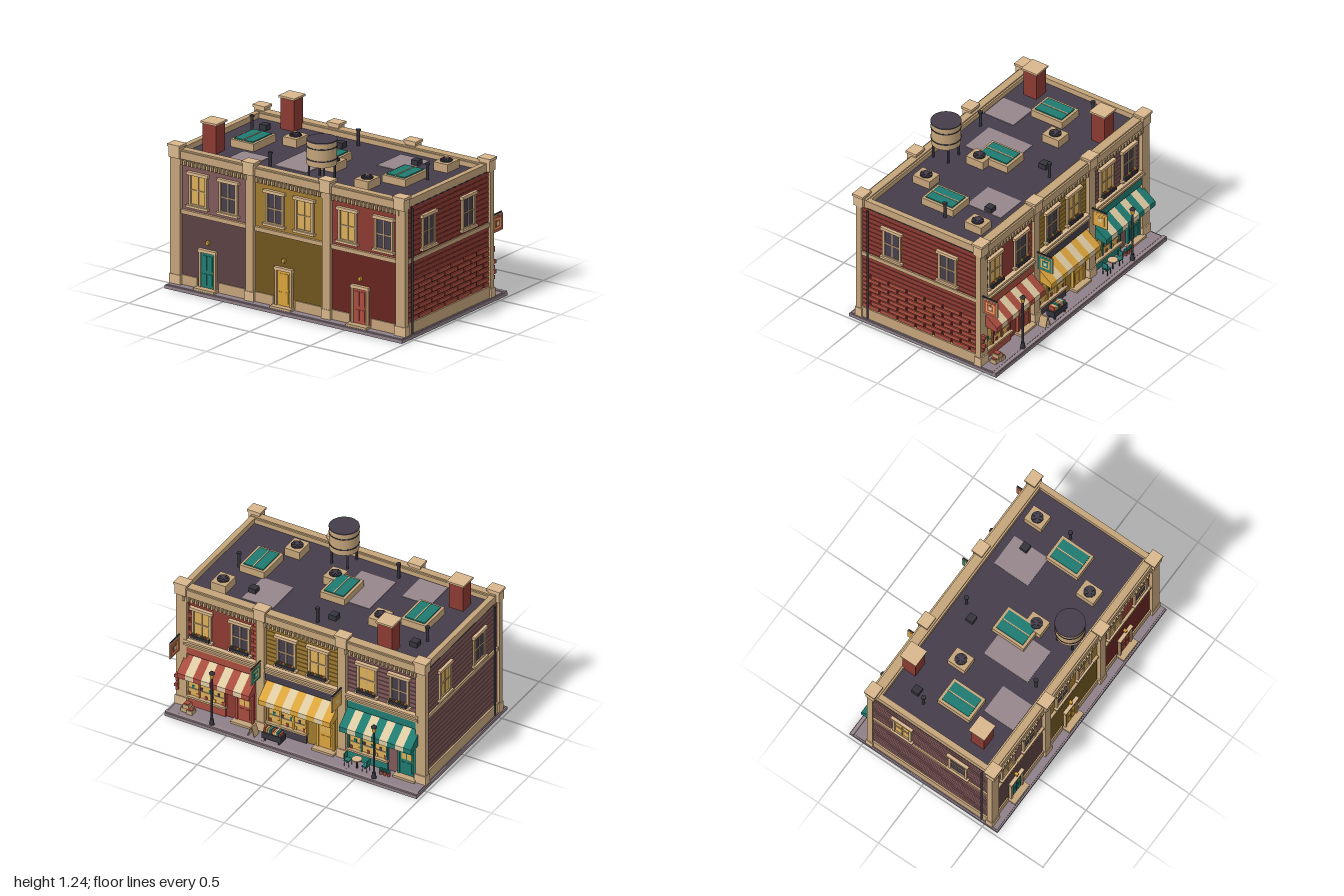
import * as THREE from 'three';

const C = { tan: 0xc4a47a, light: 0xd9b78c, red: 0x8c3a32, brick: 0xa84c3e, darkRed: 0x66241f, gold: 0xa07a30, darkGold: 0x6e551f,
  mauve: 0x80595a, darkMauve: 0x5c4142, dark: 0x453e4a, iron: 0x35333c, slab: 0x8f8088, patch: 0x96868b, teal: 0x1f7a70,
  lit: 0xdcae58, cream: 0xdcc9a2, orange: 0xe0a850, green: 0x4c6b3a, amber: 0xd9a33c };
const mats = {};
const mat = c => mats[c] ??= new THREE.MeshStandardMaterial({ color: C[c] });

function add(parent, name, geo, c, x = 0, y = 0, z = 0) {
  const m = new THREE.Mesh(geo, mat(c));
  m.name = name;
  m.position.set(x, y, z);
  parent.add(m);
  return m;
}
// Box from its bounds on each axis
const box = (p, name, c, x0, x1, y0, y1, z0, z1) => add(p, name, new THREE.BoxGeometry(x1 - x0, y1 - y0, z1 - z0), c,
  (x0 + x1) / 2, (y0 + y1) / 2, (z0 + z1) / 2);
// Upright cylinder from its foot
const cyl = (p, name, c, x, y0, y1, z, r, r2 = r, n = 16) =>
  add(p, name, new THREE.CylinderGeometry(r2, r, y1 - y0, n), c, x, (y0 + y1) / 2, z);
function sub(parent, name, x = 0, y = 0, z = 0, ry = 0) {
  const g = new THREE.Group();
  g.name = name;
  g.position.set(x, y, z);
  g.rotation.y = ry;
  parent.add(g);
  return g;
}

// Sash window facing local +z, standing on its sill
function sashWindow(parent, x, y, z, ry, lit, planter) {
  const g = sub(parent, 'window', x, y, z, ry), w = 0.067;
  box(g, 'glass', lit ? 'lit' : 'dark', -w, w, 0, 0.22, -0.005, 0.006);
  for (const s of [-1, 1]) box(g, 'jamb', 'tan', s * w - 0.009, s * w + 0.009, 0, 0.225, 0, 0.016);
  box(g, 'mullion', 'tan', -0.004, 0.004, 0, 0.22, 0, 0.011);
  box(g, 'meetingRail', 'tan', -w, w, 0.107, 0.115, 0, 0.012);
  box(g, 'bottomRail', 'tan', -w, w, 0, 0.012, 0, 0.014);
  box(g, 'lintel', 'light', -0.088, 0.088, 0.218, 0.24, 0, 0.025);
  box(g, 'sill', 'light', -0.09, 0.09, -0.014, 0.002, 0, 0.028);
  if (!planter) return;
  box(g, 'planter', 'iron', -0.07, 0.07, 0, 0.022, 0.01, 0.036);
  for (let i = 0; i < 6; i++)
    add(g, 'flower', new THREE.IcosahedronGeometry(0.011, 0), ['green', 'brick', 'orange'][i % 3], -0.058 + i * 0.023, 0.029, 0.023);
}

// Panelled door facing local +z
function door(parent, x, z, ry, c, glazed) {
  const g = sub(parent, 'door', x, 0.03, z, ry);
  box(g, 'leaf', c, -0.057, 0.057, 0.015, 0.265, 0, 0.012);
  for (const s of [-1, 1]) {
    box(g, 'jamb', glazed ? c : 'tan', s * 0.062 - 0.008, s * 0.062 + 0.008, 0, 0.275, 0, 0.02);
    box(g, 'panel', glazed ? 'lit' : c, s * 0.022 - 0.017, s * 0.022 + 0.017, 0.14, 0.245, 0, 0.016);
    box(g, 'lowerPanel', c, s * 0.022 - 0.017, s * 0.022 + 0.017, 0.035, 0.115, 0, 0.016);
  }
  if (glazed) box(g, 'glazingBar', c, -0.045, 0.045, 0.19, 0.197, 0, 0.018);
  box(g, 'head', glazed ? c : 'light', -0.075, 0.075, 0.265, 0.287, 0, 0.026);
  add(g, 'knob', new THREE.SphereGeometry(0.006, 8, 6), 'amber', 0.045, 0.13, 0.016);
  box(g, 'step', 'tan', -0.085, 0.085, 0, 0.016, 0, 0.06);
}

// One shop: walls, upper windows, fascia, awning, shopfront and rear door
function shop(root, c, o) {
  const g = sub(root, o.name, 0, 0, c), h = 0.28;
  box(g, 'walls', o.wall, -0.53, 0.44, 0.03, 0.94, -0.315, 0.315);
  box(g, 'rearLowerWall', o.low, -0.536, -0.52, 0.1, 0.54, -h, h);
  for (let i = 0; i < 9; i++) {
    const y = 0.575 + i * 0.034;
    if (o.wall !== 'red') box(g, 'course', o.wall, 0.43, 0.445, y, y + 0.03, -h, h);
    else for (const s of [-1, 1]) {
      const w = i % 2 ? 0.06 : 0.03;
      box(g, 'quoin', 'brick', 0.43, 0.452, y, y + 0.03, s * (h - w / 2) - w / 2, s * (h - w / 2) + w / 2);
    }
  }
  o.lit.forEach((lit, i) => {
    const z = (i ? -1 : 1) * o.spread;
    sashWindow(g, 0.447, 0.605, z, Math.PI / 2, lit, true);
    sashWindow(g, -0.53, 0.605, z, -Math.PI / 2, !lit, false);
  });
  // Cornice dentils and string courses on both long sides
  for (let i = 0; i < 18; i++) {
    const z = -h + 0.02 + i * 0.0318;
    box(g, 'frontDentil', 'tan', 0.44, 0.48, 0.885, 0.92, z - 0.008, z + 0.008);
    box(g, 'rearDentil', 'tan', -0.562, -0.53, 0.885, 0.92, z - 0.008, z + 0.008);
  }
  box(g, 'frontString', 'tan', 0.43, 0.482, 0.53, 0.545, -h, h);
  box(g, 'frontStringTop', 'light', 0.43, 0.475, 0.553, 0.568, -h, h);
  box(g, 'rearString', 'tan', -0.55, -0.53, 0.535, 0.565, -h, h);
  box(g, 'fascia', o.trim, 0.43, 0.468, 0.455, 0.517, -h + 0.005, h - 0.005);
  box(g, 'fasciaRail', 'tan', 0.43, 0.474, 0.515, 0.524, -h, h);
  // Striped awning
  const prof = new THREE.Shape([[0.44, 0.44], [0.44, 0.335], [0.565, 0.31], [0.565, 0.348]].map(p => new THREE.Vector2(...p)));
  const n = 9, sw = 0.56 / n;
  for (let i = 0; i < n; i++)
    add(g, 'awningStripe', new THREE.ExtrudeGeometry(prof, { depth: sw, bevelEnabled: false }), i % 2 ? 'cream' : o.stripe, 0, 0, -h + i * sw);
  // Display window with goods on shelves
  box(g, 'displayGlass', 'lit', 0.43, 0.446, 0.11, 0.33, -0.03, 0.27);
  box(g, 'stallRiser', o.trim, 0.43, 0.455, 0.03, 0.1, -0.035, 0.275);
  box(g, 'displaySill', 'tan', 0.43, 0.472, 0.098, 0.113, -0.04, 0.28);
  for (const z of [-0.03, 0.07, 0.17, 0.27]) box(g, 'displayMullion', o.stripe, 0.43, 0.456, 0.1, 0.33, z - 0.006, z + 0.006);
  for (const y of [0.165, 0.265]) box(g, 'displayShelf', 'tan', 0.43, 0.452, y, y + 0.007, -0.03, 0.27);
  for (let i = 0; i < 9; i++) {
    const z = -0.012 + i * 0.033, y = i % 2 ? 0.172 : 0.113;
    box(g, 'goods', ['brick', 'dark', 'orange', 'teal'][i % 4], 0.43, 0.451, y, y + 0.025, z - 0.009, z + 0.009);
  }
  door(g, 0.44, -0.183, Math.PI / 2, o.stripe, true);
  door(g, -0.536, -0.04, -Math.PI / 2, o.stripe, false);
  box(g, 'rearLamp', 'amber', -0.56, -0.53, 0.355, 0.38, -0.05, -0.03);
  box(g, 'rearPlinth', 'tan', -0.545, -0.52, 0.03, 0.1, 0.05, h);
  box(g, 'rearPlinth', 'tan', -0.545, -0.52, 0.03, 0.1, -h, -0.13);
  // Hanging sign
  const s = sub(g, 'hangingSign', 0.54, 0.528, 0.315);
  box(s, 'bracket', 'iron', -0.08, 0.055, 0.065, 0.073, -0.004, 0.004);
  [['tan', 0.06, 0.01], [o.sign, 0.053, 0.012], ['orange', 0.036, 0.014], [o.sign, 0.025, 0.016], ['cream', 0.013, 0.018]]
    .forEach(([col, r, t]) => box(s, 'signBoard', col, -r, r, -r, r, -t / 2, t / 2));
}

// Gable end: boards, brick base, windows, string course and drainpipe, on the side s of z
function gableEnd(root, s, wall, low, brickBase, lits) {
  const g = sub(root, s > 0 ? 'frontEnd' : 'backEnd');
  const slab = (name, c, x0, x1, y0, y1, t) => box(g, name, c, x0, x1, y0, y1, s > 0 ? 0.94 : -0.94 - t, s > 0 ? 0.94 + t : -0.94);
  slab('backing', low, -0.52, 0.43, 0.1, 0.93, 0.006);
  for (let y = 0.112; y < 0.9; y += 0.0355)
    if (!(brickBase && y < 0.38)) slab('board', wall, -0.52, 0.43, y, y + 0.031, 0.013);
  if (brickBase) for (let r = 0; r < 8; r++) for (let i = -1; i < 7; i++) {
    const x = -0.52 + i * 0.15 + (r % 2) * 0.075, y = 0.112 + r * 0.036;
    const x0 = Math.max(x, -0.52), x1 = Math.min(x + 0.135, 0.43);
    if (x1 - x0 > 0.01) slab('brick', 'brick', x0, x1, y, y + 0.027, 0.016);
  }
  slab('plinth', 'tan', -0.52, 0.43, 0.03, 0.11, 0.024);
  slab('stringCourse', 'tan', -0.52, 0.43, 0.535, 0.565, 0.024);
  [-0.27, 0.19].forEach((x, i) => sashWindow(g, x, 0.6, s * 0.95, s > 0 ? 0 : Math.PI, lits[i], false));
  cyl(g, 'drainpipe', 'iron', -0.468, 0.03, 0.92, s * 0.965, 0.008, 0.008, 10);
  slab('gutter', 'iron', -0.48, 0.43, 0.918, 0.93, 0.012);
  box(g, 'parapet', 'tan', -0.52, 0.44, 0.93, 0.985, s > 0 ? 0.91 : -0.95, s > 0 ? 0.95 : -0.91);
}

function roofItems(root) {
  const g = sub(root, 'roofEquipment'), R = 0.945;
  box(g, 'roofDeck', 'dark', -0.5, 0.4, 0.93, R, -0.92, 0.92);
  for (const [x, z, w, d] of [[-0.17, -0.13, 0.36, 0.27], [-0.35, -0.49, 0.24, 0.22], [0.19, 0.42, 0.28, 0.24]])
    box(g, 'roofPatch', 'patch', x - w / 2, x + w / 2, R, R + 0.004, z - d / 2, z + d / 2);
  for (const z of [-0.635, -0.005, 0.62]) {
    box(g, 'skylightCurb', 'tan', -0.2, 0.06, R, 0.998, z - 0.096, z + 0.096);
    box(g, 'skylightGlass', 'teal', -0.18, 0.04, R, 1.006, z - 0.076, z + 0.076);
    box(g, 'skylightBar', 'light', -0.18, 0.04, R, 1.01, z - 0.004, z + 0.004);
  }
  for (const [x, z] of [[0.1, -0.405], [-0.165, 0.1], [-0.325, 0.49], [0.27, 0.72]]) {
    box(g, 'airUnit', 'tan', x - 0.07, x + 0.07, R, 1.005, z - 0.058, z + 0.058);
    cyl(g, 'fanRing', 'iron', x, 1.005, 1.012, z, 0.043);
    for (const a of [0, 1, 2]) box(g, 'fanBlade', 'dark', -0.04, 0.04, 0, 0.005, -0.006, 0.006)
      .position.set(x, 1.015, z), g.children.at(-1).rotation.y = a * Math.PI / 3;
  }
  for (const z of [-0.745, -0.115, 0.51]) box(g, 'ventBox', 'iron', 0.192, 0.248, R, 0.985, z - 0.028, z + 0.028);
  for (const [x, z] of [[0.135, -0.79], [-0.41, -0.25], [0.315, -0.04], [0.015, 0.745]]) {
    cyl(g, 'ventPipe', 'iron', x, R, 1.06, z, 0.011, 0.011, 10);
    cyl(g, 'ventCap', 'iron', x, 1.05, 1.062, z, 0.017, 0.017, 10);
  }
  for (const [x, z, top] of [[0.345, -0.61, 1.17], [-0.335, -0.77, 1.148]]) {
    box(g, 'chimney', 'red', x - 0.053, x + 0.053, R, top, z - 0.055, z + 0.055);
    box(g, 'chimneyCap', 'light', x - 0.065, x + 0.065, top, top + 0.014, z - 0.066, z + 0.066);
  }
  // Water tank on four legs
  const t = sub(g, 'waterTank', -0.395, 0, 0.165);
  cyl(t, 'tank', 'tan', 0, 1.06, 1.232, 0, 0.102, 0.102, 28);
  for (const y of [1.1, 1.185]) cyl(t, 'hoop', 'iron', 0, y, y + 0.008, 0, 0.105, 0.105, 28);
  cyl(t, 'lid', 'dark', 0, 1.229, 1.237, 0, 0.105, 0.105, 28);
  for (const a of [-1, 1]) for (const b of [-1, 1]) cyl(t, 'leg', 'iron', a * 0.062, R, 1.065, b * 0.062, 0.008, 0.008, 8);
}

function streetItems(root) {
  const g = sub(root, 'streetFurniture');
  for (const z of [0.63, -0.63]) {
    const l = sub(g, 'streetLamp', 0.578, 0.03, z);
    cyl(l, 'foot', 'iron', 0, 0, 0.05, 0, 0.018, 0.012);
    cyl(l, 'post', 'iron', 0, 0.04, 0.375, 0, 0.008);
    cyl(l, 'lantern', 'amber', 0, 0.38, 0.418, 0, 0.012, 0.018, 6);
    cyl(l, 'lanternCap', 'iron', 0, 0.418, 0.437, 0, 0.024, 0.006, 6);
  }
  // Bakery crates
  for (const [z, y, x] of [[0.87, 0.03, 0.52], [0.82, 0.03, 0.53], [0.85, 0.065, 0.525]]) {
    box(g, 'crate', 'tan', x - 0.025, x + 0.025, y, y + 0.03, z - 0.023, z + 0.023);
    box(g, 'crateGoods', 'brick', x - 0.02, x + 0.02, y + 0.02, y + 0.037, z - 0.018, z + 0.018);
  }
  // Book cart
  box(g, 'bookCart', 'iron', 0.5, 0.565, 0.05, 0.095, 0.1, 0.25);
  for (let i = 0; i < 9; i++)
    box(g, 'book', ['brick', 'teal', 'cream', 'orange'][i % 4], 0.508, 0.557, 0.09, 0.118 + (i % 3) * 0.005, 0.108 + i * 0.015, 0.12 + i * 0.015);
  for (const x of [0.51, 0.555]) for (const z of [0.12, 0.23]) cyl(g, 'cartLeg', 'iron', x, 0.03, 0.055, z, 0.008, 0.008, 8);
  // Folding pavement board
  for (const s of [-1, 1]) box(g, 'pavementBoard', 'tan', -0.03, 0.03, -0.04, 0.04, -0.003, 0.003)
    .position.set(0.54, 0.07, 0.33 + s * 0.014), g.children.at(-1).rotation.x = -s * 0.3;
  // Cafe table and chairs
  cyl(g, 'tableLeg', 'iron', 0.53, 0.03, 0.1, -0.47, 0.006);
  cyl(g, 'tableTop', 'light', 0.53, 0.098, 0.106, -0.47, 0.036, 0.036, 20);
  for (const s of [-1, 1]) {
    const z = -0.47 + s * 0.07;
    box(g, 'chairSeat', 'teal', 0.507, 0.553, 0.07, 0.078, z - 0.02, z + 0.02);
    box(g, 'chairBack', 'teal', 0.507, 0.553, 0.085, 0.125, z + s * 0.02 - 0.003, z + s * 0.02 + 0.003);
    for (const x of [0.511, 0.549]) for (const e of [-1, 1])
      cyl(g, 'chairLeg', 'iron', x, 0.03, e === s ? 0.12 : 0.07, z + e * 0.018, 0.003, 0.003, 6);
  }
  for (const z of [-0.645, -0.675, -0.705]) {
    cyl(g, 'flowerPot', 'brick', 0.51, 0.03, 0.06, z, 0.01, 0.014, 10);
    add(g, 'potPlant', new THREE.IcosahedronGeometry(0.016, 0), 'teal', 0.51, 0.07, z);
  }
}

export function createModel() {
  const root = new THREE.Group();
  root.name = 'shopTerrace';
  box(root, 'pavement', 'slab', -0.61, 0.61, 0, 0.024, -0.98, 0.98);
  box(root, 'pavementTop', 'slab', -0.6, 0.575, 0.02, 0.03, -0.97, 0.97);
  box(root, 'kerb', 'patch', 0.58, 0.606, 0.02, 0.034, -0.98, 0.98);
  shop(root, 0.63, { name: 'bakery', wall: 'red', low: 'darkRed', trim: 'brick', stripe: 'brick', sign: 'brick', lit: [true, false], spread: 0.15 });
  shop(root, 0, { name: 'bookshop', wall: 'gold', low: 'darkGold', trim: 'dark', stripe: 'amber', sign: 'teal', lit: [false, true], spread: 0.123 });
  shop(root, -0.63, { name: 'cafe', wall: 'mauve', low: 'darkMauve', trim: 'teal', stripe: 'teal', sign: 'amber', lit: [true, false], spread: 0.125 });
  gableEnd(root, 1, 'red', 'darkRed', true, [false, false]);
  gableEnd(root, -1, 'mauve', 'darkMauve', false, [false, true]);
  // Long parapets with top rail
  for (const [x0, x1] of [[-0.555, -0.478], [0.385, 0.475]]) {
    box(root, 'parapet', 'tan', x0, x1, 0.925, 0.98, -0.95, 0.95);
    box(root, 'parapetRail', 'tan', x0 + 0.012, x1 - 0.012, 0.98, 0.99, -0.95, 0.95);
  }
  // Pilasters with base and capped pier
  for (const z of [-0.93, -0.317, 0.317, 0.93]) for (const x of [-0.54, 0.45]) {
    const p = sub(root, 'pilaster', x, 0, z), f = Math.abs(z) > 0.5 ? 0.04 : 0.032;
    box(p, 'shaft', 'tan', -0.02, 0.022, 0.03, 0.93, -f, f);
    box(p, 'base', 'light', -0.025, 0.03, 0.03, 0.097, -f - 0.006, f + 0.006);
    box(p, 'pier', 'light', -0.037, 0.035, 0.93, 1.008, -0.043, 0.043);
    box(p, 'cap', 'light', -0.044, 0.042, 1.006, 1.024, -0.051, 0.051);
  }
  // Projecting corner bricks
  for (let i = 0; i < 4; i++) box(root, 'cornerBrick', 'brick', 0.46, i % 2 ? 0.505 : 0.49, 0.15 + i * 0.036, 0.175 + i * 0.036, 0.945, 0.965);
  roofItems(root);
  streetItems(root);
  return root;
}
